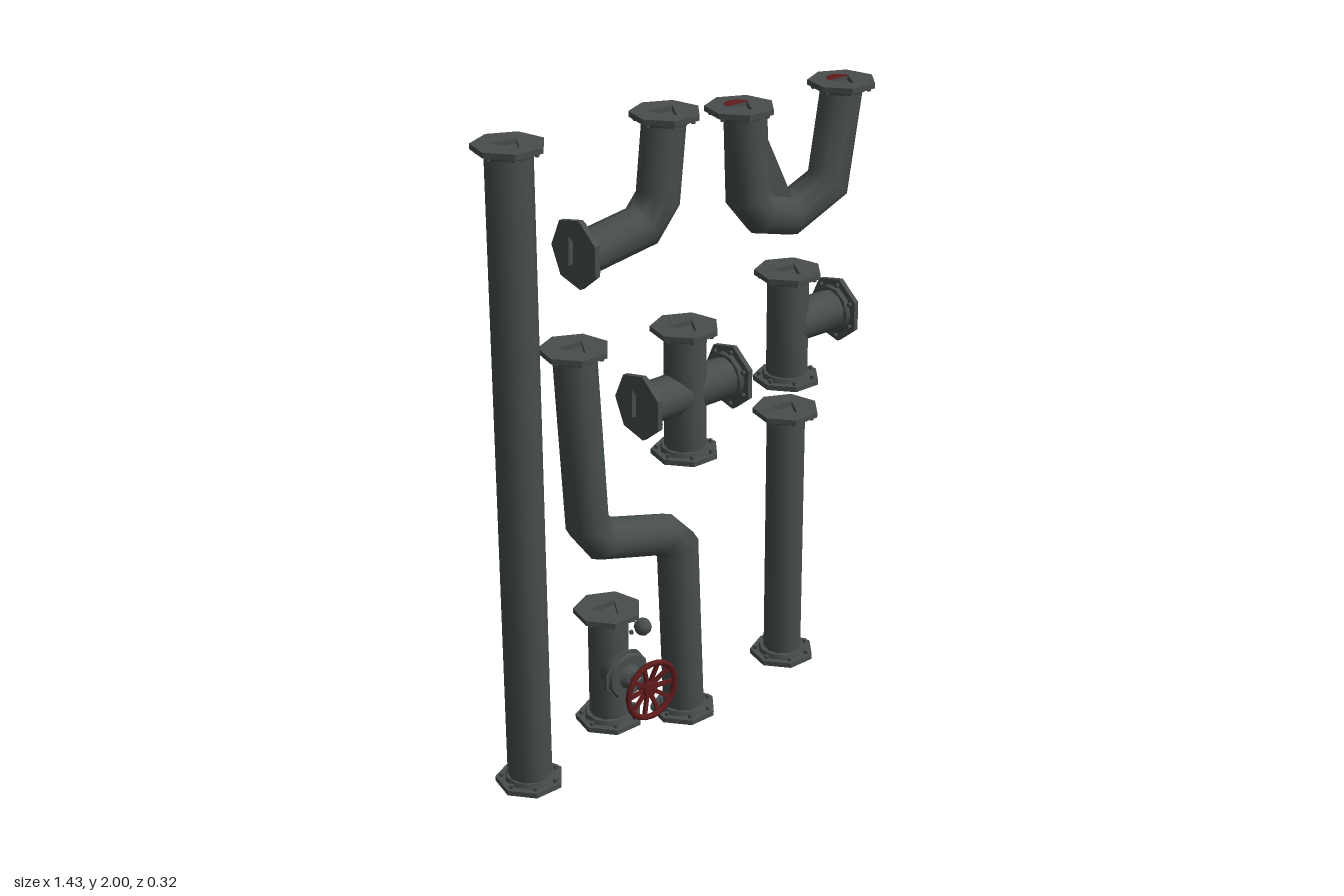
import * as THREE from 'three';

const mat = (name, color, side = THREE.FrontSide) => {
  const m = new THREE.MeshStandardMaterial({ color, side });
  m.name = name;
  return m;
};

const AXIS_Z = -0.055; // depth shared by every pipe run
const R = 0.064;       // pipe radius

export function createModel() {
  const root = new THREE.Group();
  root.name = 'pipeKit';
  const iron = mat('dark iron', 0x484d4d);
  const red = mat('dark red', 0x611b1b);
  const steel = mat('light steel', 0x9a9e9e);

  const add = (parent, name, geo, material, x = 0, y = 0, z = 0) => {
    const m = new THREE.Mesh(geo, material);
    m.name = name;
    m.position.set(x, y, z);
    parent.add(m);
    return m;
  };
  const section = (name) => {
    const g = new THREE.Group();
    g.name = name;
    g.position.z = AXIS_Z;
    root.add(g);
    return g;
  };

  // Mitred tube along a path in the xy plane
  const pipe = (parent, path, r = R, sides = 10) => {
    const pts = path.map(([x, y]) => new THREE.Vector2(x, y));
    const pos = [], idx = [];
    pts.forEach((p, i) => {
      const a = pts[Math.max(i - 1, 0)], b = pts[Math.min(i + 1, pts.length - 1)];
      const d0 = (i ? p.clone().sub(a) : b.clone().sub(p)).normalize();
      const d1 = (i < pts.length - 1 ? b.clone().sub(p) : p.clone().sub(a)).normalize();
      const t = d0.clone().add(d1).normalize();
      const w = r / t.dot(d0);
      for (let j = 0; j < sides; j++) {
        const ang = (j / sides) * Math.PI * 2, c = Math.cos(ang) * w;
        pos.push(p.x - t.y * c, p.y + t.x * c, Math.sin(ang) * r);
        if (i < pts.length - 1) {
          const k = (j + 1) % sides, o = i * sides, n = o + sides;
          idx.push(o + j, o + k, n + j, o + k, n + k, n + j);
        }
      }
    });
    const g = new THREE.BufferGeometry();
    g.setAttribute('position', new THREE.Float32BufferAttribute(pos, 3));
    g.setIndex(idx);
    g.computeVertexNormals();
    return add(parent, 'pipe', g, iron);
  };

  // Seven-sided flange plate with a triangular recess
  const ngon = (n, r, start, Type) => new Type(Array.from({ length: n }, (_, i) => {
    const a = start + (i / n) * Math.PI * 2;
    return new THREE.Vector2(Math.cos(a) * r, Math.sin(a) * r);
  }));
  const plateShape = ngon(7, 0.104, Math.PI / 2, THREE.Shape);
  plateShape.holes.push(ngon(3, 0.052, 0.5, THREE.Path));
  const plateGeo = new THREE.ExtrudeGeometry(plateShape, { depth: 0.016, bevelEnabled: false });
  plateGeo.rotateX(-Math.PI / 2).translate(0, -0.016, 0);
  const collarGeo = new THREE.CylinderGeometry(0.078, 0.074, 0.014, 10).translate(0, -0.023, 0);
  const boltGeo = new THREE.CylinderGeometry(0.007, 0.007, 0.012, 5);

  // The outer face of the flange sits at (x, y) and points along (dx, dy)
  const flange = (parent, x, y, dx, dy) => {
    const g = new THREE.Group();
    g.name = 'flange';
    g.position.set(x, y, 0);
    g.rotation.z = Math.atan2(-dx, dy);
    add(g, 'flangePlate', plateGeo, iron);
    add(g, 'flangeCollar', collarGeo, iron);
    for (let i = 0; i < 7; i++) {
      const a = (i / 7) * Math.PI * 2 + 0.22;
      add(g, 'bolt', boltGeo, iron, Math.cos(a) * 0.085, -0.021, Math.sin(a) * 0.085);
    }
    parent.add(g);
  };

  // Straight lengths
  const straight = (name, x, y0, y1, r = R) => {
    const g = section(name);
    pipe(g, [[x, y0 + 0.02], [x, y1 - 0.02]], r);
    flange(g, x, y0, 0, -1);
    flange(g, x, y1, 0, 1);
    return g;
  };
  straight('longPipe', -0.615, 0, 2, 0.067);
  straight('shortPipe', 0.41, 0.055, 0.93, 0.06);

  // Elbow
  const elbow = section('elbow');
  pipe(elbow, [[-0.385, 1.625], [-0.16, 1.66], [-0.1, 1.73], [-0.075, 1.96]]);
  flange(elbow, -0.403, 1.635, -1, 0);
  flange(elbow, -0.07, 1.98, 0, 1);

  // U bend with a web on its left leg
  const bend = section('uBend');
  pipe(bend, [[0.23, 1.92], [0.24, 1.66], [0.295, 1.595], [0.407, 1.565], [0.565, 1.63], [0.615, 1.92]]);
  const web = new THREE.Shape([[0.27, 1.88], [0.22, 1.64], [0.4, 1.62]].map(p => new THREE.Vector2(...p)));
  add(bend, 'web', new THREE.ExtrudeGeometry(web, { depth: 0.07, bevelEnabled: false }), iron, 0, 0, -0.045);
  for (const x of [0.21, 0.615]) {
    flange(bend, x, 1.94, 0, 1);
    const half = new THREE.CircleGeometry(0.042, 12, 0, Math.PI).rotateX(-Math.PI / 2);
    add(bend, 'redInlay', half, red, x, 1.942, -0.01);
  }

  // Offset pipe
  const offset = section('offsetPipe');
  pipe(offset, [[-0.41, 1.335], [-0.378, 0.79], [-0.325, 0.72], [-0.09, 0.655], [-0.032, 0.595], [-0.01, 0.03]]);
  flange(offset, -0.41, 1.355, 0, 1);
  flange(offset, -0.01, 0.01, 0, -1);

  // Cross
  const cross = straight('cross', 0, 0.9, 1.313);
  pipe(cross, [[-0.165, 1.105], [0.165, 1.105]]);
  for (const s of [-1, 1]) flange(cross, s * 0.183, 1.105, s, 0);

  // Tee
  const tee = straight('tee', 0.41, 1.025, 1.387);
  pipe(tee, [[0.41, 1.21], [0.6, 1.21]]);
  flange(tee, 0.618, 1.21, 1, 0);

  // Valve body
  const VX = -0.307, VY = 0.287;
  const valve = straight('valve', VX, 0.095, 0.48, 0.061);
  const disc = (name, r0, r1, z0, z1, m, n = 10) => {
    const g = new THREE.CylinderGeometry(r1, r0, z1 - z0, n).rotateX(Math.PI / 2);
    return add(valve, name, g, m, VX, VY, (z0 + z1) / 2 - AXIS_Z);
  };
  disc('bonnetNeck', 0.055, 0.055, -0.04, 0.03, iron);
  disc('bonnetFlangeBack', 0.08, 0.08, 0.018, 0.03, iron);
  disc('bonnetFlangeFront', 0.075, 0.07, 0.036, 0.046, iron);
  disc('bonnetCore', 0.05, 0.05, 0.03, 0.036, iron);
  disc('bonnetCone', 0.04, 0.022, 0.046, 0.062, iron);
  disc('stem', 0.011, 0.011, 0.06, 0.135, iron, 8);
  disc('stemNutBack', 0.022, 0.022, 0.072, 0.084, iron, 6);
  disc('stemNutMiddle', 0.017, 0.017, 0.09, 0.098, steel, 6);
  disc('stemNutFront', 0.022, 0.022, 0.103, 0.115, iron, 6);

  // Dished hand wheel
  const wheel = new THREE.Group();
  wheel.name = 'handWheel';
  wheel.position.set(VX, VY, -AXIS_Z);
  valve.add(wheel);
  add(wheel, 'rim', new THREE.TorusGeometry(0.089, 0.0095, 6, 24), red, 0, 0, 0.15);
  add(wheel, 'hub', new THREE.CylinderGeometry(0.024, 0.028, 0.022, 12).rotateX(Math.PI / 2), red, 0, 0, 0.137);
  const spokeGeo = new THREE.BoxGeometry(0.07, 0.012, 0.009).rotateY(-0.17).translate(0.055, 0, 0.142);
  for (let i = 0; i < 10; i++) add(wheel, 'spoke', spokeGeo, red).rotation.z = (i / 10) * Math.PI * 2;

  // Small side knob beside the valve
  add(valve, 'sideKnob', new THREE.SphereGeometry(0.028, 8, 6), iron, -0.172, 0.365, 0);
  add(valve, 'sideKnobPin', new THREE.SphereGeometry(0.008, 6, 4), iron, -0.217, 0.362, 0);

  return root;
}
